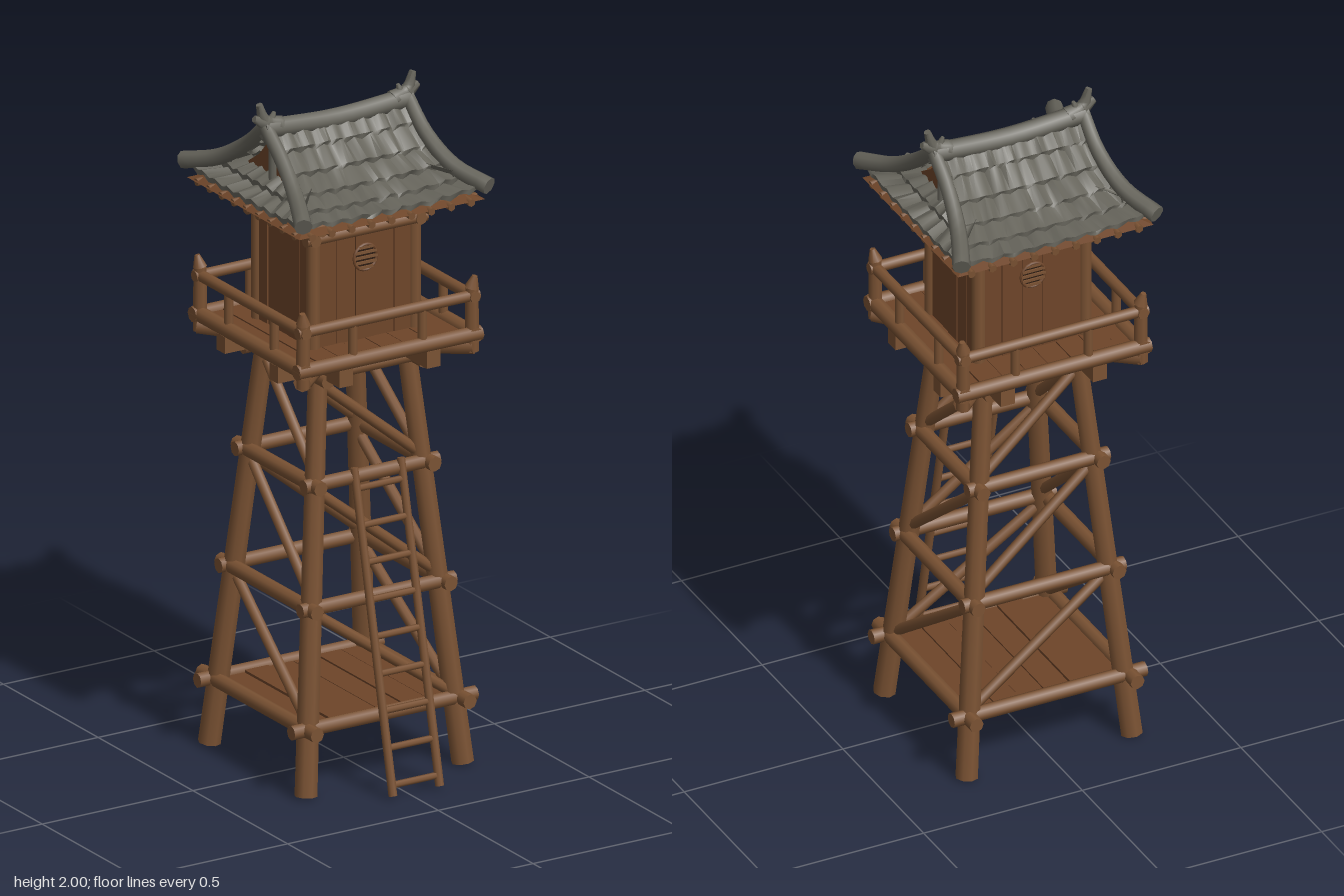
import * as THREE from 'three';
import { toCreasedNormals } from 'three/addons/utils/BufferGeometryUtils.js';

const material = (name, color, side = THREE.FrontSide) => {
  const m = new THREE.MeshStandardMaterial({ color, side });
  m.name = name;
  return m;
};
const V = (x, y, z) => new THREE.Vector3(x, y, z);

export function createModel() {
  const wood = material('timber', 0x7a5233);
  const plank = material('planks', 0x6e4529);
  const dark = material('dark opening', 0x2c1c12);
  const tile = material('roof tile', 0x66645b, THREE.DoubleSide);

  const model = new THREE.Group();
  model.name = 'watchtower';
  const tower = new THREE.Group();
  tower.name = 'tower';
  tower.position.z = -0.04;
  model.add(tower);

  let seed = 7;
  const jitter = (s) => {
    seed = (seed * 16807) % 2147483647;
    return (seed / 2147483647 - 0.5) * 2 * s;
  };
  const group = (name, parent = tower) => {
    const g = new THREE.Group();
    g.name = name;
    parent.add(g);
    return g;
  };
  const add = (parent, name, geo, mat) => {
    const m = new THREE.Mesh(geo, mat);
    m.name = name;
    parent.add(m);
    return m;
  };
  // Straight log from a to b
  const log = (parent, name, a, b, r0, r1 = r0, mat = wood, sides = 8) => {
    const d = b.clone().sub(a);
    const m = add(parent, name, new THREE.CylinderGeometry(r1, r0, d.length(), sides), mat);
    m.position.copy(a).add(b).multiplyScalar(0.5);
    m.quaternion.setFromUnitVectors(V(0, 1, 0), d.normalize());
    return m;
  };
  const box = (parent, name, w, h, d, x, y, z, mat = wood) => {
    const m = add(parent, name, new THREE.BoxGeometry(w, h, d), mat);
    m.position.set(x, y, z);
    return m;
  };
  // Capped log bent along a curve
  const bentLog = (parent, name, pts, r0, r1, mat) => {
    const curve = new THREE.CatmullRomCurve3(pts);
    const geo = new THREE.CylinderGeometry(r1, r0, 1, 8, 12);
    const p = geo.attributes.position;
    for (let i = 0; i < p.count; i++) {
      const t = Math.min(1, Math.max(0, p.getY(i) + 0.5));
      const T = curve.getTangent(t);
      const S = T.clone().cross(V(0, 1, 0)).normalize();
      const N = S.clone().cross(T);
      const q = curve.getPoint(t).addScaledVector(S, p.getX(i)).addScaledVector(N, p.getZ(i));
      p.setXYZ(i, q.x, q.y, q.z);
    }
    return add(parent, name, toCreasedNormals(geo, 0.9), mat);
  };

  // Legs
  const legX = (y) => 0.26 - 0.092 * y;
  const legZ = (y) => 0.255 - 0.095 * y;
  const signs = [-1, 1];
  const frame = group('frame');
  for (const sx of signs) for (const sz of signs) {
    log(frame, 'leg', V(sx * legX(0), 0.005, sz * legZ(0)),
      V(sx * legX(1.27), 1.27, sz * legZ(1.27)), 0.033, 0.028);
  }
  // Horizontal beams: height, half length
  for (const [y, half] of [[0.2, 0.305], [0.545, 0.255], [0.9, 0.222], [1.215, 0.215]]) {
    for (const s of signs) {
      const x = s * (legX(y) + 0.012), z = s * (legZ(y) + 0.012);
      log(frame, 'crossBeam', V(-half, y, z), V(half, y, z), 0.022);
      log(frame, 'sideBeam', V(x, y, -half), V(x, y, half), 0.022);
    }
  }
  // Diagonal braces
  for (const [lo, hi] of [[0.21, 0.53], [0.57, 0.88], [0.92, 1.19]]) {
    for (const s of signs) {
      log(frame, 'crossBrace', V(-legX(hi), hi, s * legZ(hi)), V(legX(lo), lo, s * legZ(lo)), 0.016);
      log(frame, 'sideBrace', V(s * legX(hi), hi, -legZ(hi)), V(s * legX(lo), lo, legZ(lo)), 0.016);
    }
  }
  // Lower floor
  const floor = group('lowerFloor');
  for (let i = 0; i < 6; i++) {
    box(floor, 'floorPlank', 0.077, 0.022, 0.49, -0.2 + i * 0.08, 0.195 + jitter(0.003), 0, plank);
  }

  // Upper deck with brackets
  const deck = group('deck');
  for (let i = 0; i < 8; i++) {
    box(deck, 'deckPlank', 0.07, 0.025, 0.56, -0.252 + i * 0.072, 1.283 + jitter(0.003), 0, plank);
  }
  for (const s of signs) {
    log(deck, 'deckEdge', V(-0.305, 1.29, s * 0.275), V(0.305, 1.29, s * 0.275), 0.023);
    log(deck, 'deckEdge', V(s * 0.283, 1.29, -0.292), V(s * 0.283, 1.29, 0.292), 0.023);
    for (const t of signs) {
      box(deck, 'bracket', 0.19, 0.05, 0.045, s * 0.2, 1.245, t * 0.14);
      box(deck, 'bracket', 0.045, 0.05, 0.19, s * 0.145, 1.245, t * 0.19);
      log(deck, 'cornerBracket', V(s * 0.12, 1.24, t * 0.115), V(s * 0.285, 1.255, t * 0.275), 0.026);
      // Railing posts
      log(deck, 'cornerPost', V(s * 0.28, 1.24, t * 0.272), V(s * 0.28, 1.43, t * 0.272), 0.021, 0.019);
      log(deck, 'postTip', V(s * 0.28, 1.43, t * 0.272), V(s * 0.286, 1.465, t * 0.278), 0.021, 0.008);
      log(deck, 'railPost', V(s * 0.115, 1.29, t * 0.272), V(s * 0.115, 1.4, t * 0.272), 0.014);
      log(deck, 'railPost', V(s * 0.28, 1.29, t * 0.12), V(s * 0.28, 1.4, t * 0.12), 0.014);
    }
    log(deck, 'rail', V(-0.3, 1.405, s * 0.272), V(0.3, 1.405, s * 0.272), 0.017);
    log(deck, 'rail', V(s * 0.28, 1.405, -0.292), V(s * 0.28, 1.405, 0.292), 0.017);
  }

  // Cabin
  const cabin = group('cabin');
  box(cabin, 'core', 0.33, 0.42, 0.285, 0, 1.5, 0, plank);
  for (const s of signs) {
    for (let i = 0; i < 5; i++) {
      const o = -2 + i;
      box(cabin, 'wallPlank', 0.062, 0.37, 0.012, o * 0.064, 1.475, s * (0.146 + jitter(0.002)), plank);
      box(cabin, 'wallPlank', 0.012, 0.37, 0.054, s * (0.168 + jitter(0.002)), 1.475, o * 0.056, plank);
    }
    for (const t of signs) {
      log(cabin, 'cabinPost', V(s * 0.168, 1.28, t * 0.145), V(s * 0.168, 1.72, t * 0.145), 0.02);
    }
    for (const [y, l, r] of [[1.625, 0.2, 0.018], [1.672, 0.235, 0.022]]) {
      log(cabin, 'topBeam', V(-l, y, s * 0.155), V(l, y, s * 0.155), r);
      log(cabin, 'topBeam', V(s * 0.175, y, 0.025 - l), V(s * 0.175, y, l - 0.025), r);
    }
    // Round slatted window
    const win = group('window', cabin);
    win.rotation.y = s < 0 ? Math.PI : 0;
    const hole = add(win, 'windowOpening', new THREE.CircleGeometry(0.038, 16), dark);
    hole.position.set(0, 1.54, 0.1555);
    const ring = add(win, 'windowFrame', new THREE.TorusGeometry(0.038, 0.005, 6, 18), plank);
    ring.position.copy(hole.position);
    for (let i = -2; i <= 2; i++) {
      const w = 2 * Math.sqrt(0.038 ** 2 - (i * 0.015) ** 2);
      box(win, 'windowSlat', w, 0.008, 0.006, 0, 1.54 + i * 0.015, 0.157, wood);
    }
  }

  // Eaves underside and rafters
  const roof = group('roof');
  const soffit = new THREE.BoxGeometry(0.616, 0.035, 0.594);
  const sp = soffit.attributes.position;
  for (let i = 0; i < sp.count; i++) {
    if (sp.getY(i) > 0) sp.setXYZ(i, sp.getX(i) * 0.68, sp.getY(i), sp.getZ(i) * 0.64);
  }
  soffit.computeVertexNormals();
  add(roof, 'soffit', soffit, plank).position.y = 1.714;
  for (let i = -4; i <= 4; i++) for (const s of signs) {
    log(roof, 'rafter', V(i * 0.066, 1.705, s * 0.14), V(i * 0.066, 1.693, s * 0.297), 0.012, 0.012, wood, 6);
    log(roof, 'rafter', V(s * 0.16, 1.705, i * 0.064), V(s * 0.303, 1.693, i * 0.064), 0.012, 0.012, wood, 6);
  }

  // Stepped, wavy tile sheet; shape(u, v) gives the smooth surface, u in -1..1, v from top to eave
  const tileSheet = (name, cols, rows, shape, angle) => {
    const nx = cols * 4, ny = rows * 2;
    const geo = new THREE.PlaneGeometry(1, 1, nx, ny);
    const p = geo.attributes.position;
    const ragged = Array.from({ length: (nx + 1) * (ny + 1) }, () => jitter(0.003));
    for (let j = 0; j <= ny; j++) for (let i = 0; i <= nx; i++) {
      const row = Math.floor(j / 2), lip = j % 2;
      const k = j * (nx + 1) + i;
      const wave = Math.cos((i / 4) * Math.PI * 2);
      const v = (row + lip) / rows + (lip ? 0.012 * wave : -0.008);
      const q = shape((i / nx) * 2 - 1, Math.max(0, v));
      p.setXYZ(k, q.x, q.y + lip * 0.014 + wave * 0.006 + ragged[k], q.z + ragged[k]);
    }
    const m = add(roof, name, toCreasedNormals(geo, 0.8), tile);
    m.rotation.y = angle;
  };
  const slope = (u, v) => {
    const d = v * 0.295;
    return V(u * (0.225 + 0.8 * d * d), 1.92 - 1.2 * d + 1.7 * d * d + 0.015 * v * u ** 4, d);
  };
  const skirt = (u, v) =>
    V(u * (0.18 + 0.11 * v), 1.785 - 0.1 * v + 0.028 * v * v + 0.015 * v * u ** 4, 0.19 + 0.11 * v);
  for (const s of signs) {
    tileSheet('mainSlope', 9, 5, slope, s < 0 ? Math.PI : 0);
    tileSheet('sideSkirt', 9, 2, skirt, s * Math.PI / 2);
    // Gable wall
    const tri = new THREE.Shape([[-0.17, 0], [0.17, 0], [0.08, 0.06], [0, 0.145], [-0.08, 0.06]]
      .map(([x, y]) => new THREE.Vector2(x, y)));
    const gable = add(roof, 'gable', new THREE.ExtrudeGeometry(tri, { depth: 0.02, bevelEnabled: false }), plank);
    gable.rotation.y = s * Math.PI / 2;
    gable.position.set(s * 0.185, 1.755, 0);
    log(roof, 'gablePost', V(s * 0.208, 1.76, 0), V(s * 0.208, 1.9, 0), 0.014, 0.014, tile);
    // Hip ribs sweeping out to the corners
    for (const t of signs) {
      bentLog(roof, 'hipRib', [V(s * 0.235, 1.93, 0), V(s * 0.236, 1.845, t * 0.1),
        V(s * 0.26, 1.778, t * 0.205), V(s * 0.308, 1.742, t * 0.318)], 0.02, 0.026, tile);
    }
    // Ridge finials
    bentLog(roof, 'finial', [V(s * 0.19, 1.925, 0), V(s * 0.235, 1.945, 0), V(s * 0.255, 1.998, 0)],
      0.028, 0.01, tile);
    log(roof, 'finialBarb', V(s * 0.235, 1.94, 0), V(s * 0.272, 1.958, 0), 0.024, 0.01, tile, 6);
    log(roof, 'finialCrest', V(s * 0.22, 1.93, 0), V(s * 0.205, 1.968, 0), 0.018, 0.005, tile, 6);
  }
  bentLog(roof, 'ridge', [V(-0.245, 1.922, 0), V(0, 1.908, 0), V(0.245, 1.922, 0)], 0.03, 0.03, tile);

  // Ladder
  const ladder = group('ladder', model);
  const at = (x, y) => V(x, y, 0.358 - 0.222 * y);
  for (const x of [-0.06, 0.095]) log(ladder, 'ladderRail', at(x, 0.01), at(x, 0.93), 0.013, 0.012);
  for (let i = 0; i < 9; i++) {
    const y = 0.04 + i * 0.104;
    log(ladder, 'rung', at(-0.065, y), at(0.1, y), 0.01, 0.01, wood, 6);
  }
  return model;
}
